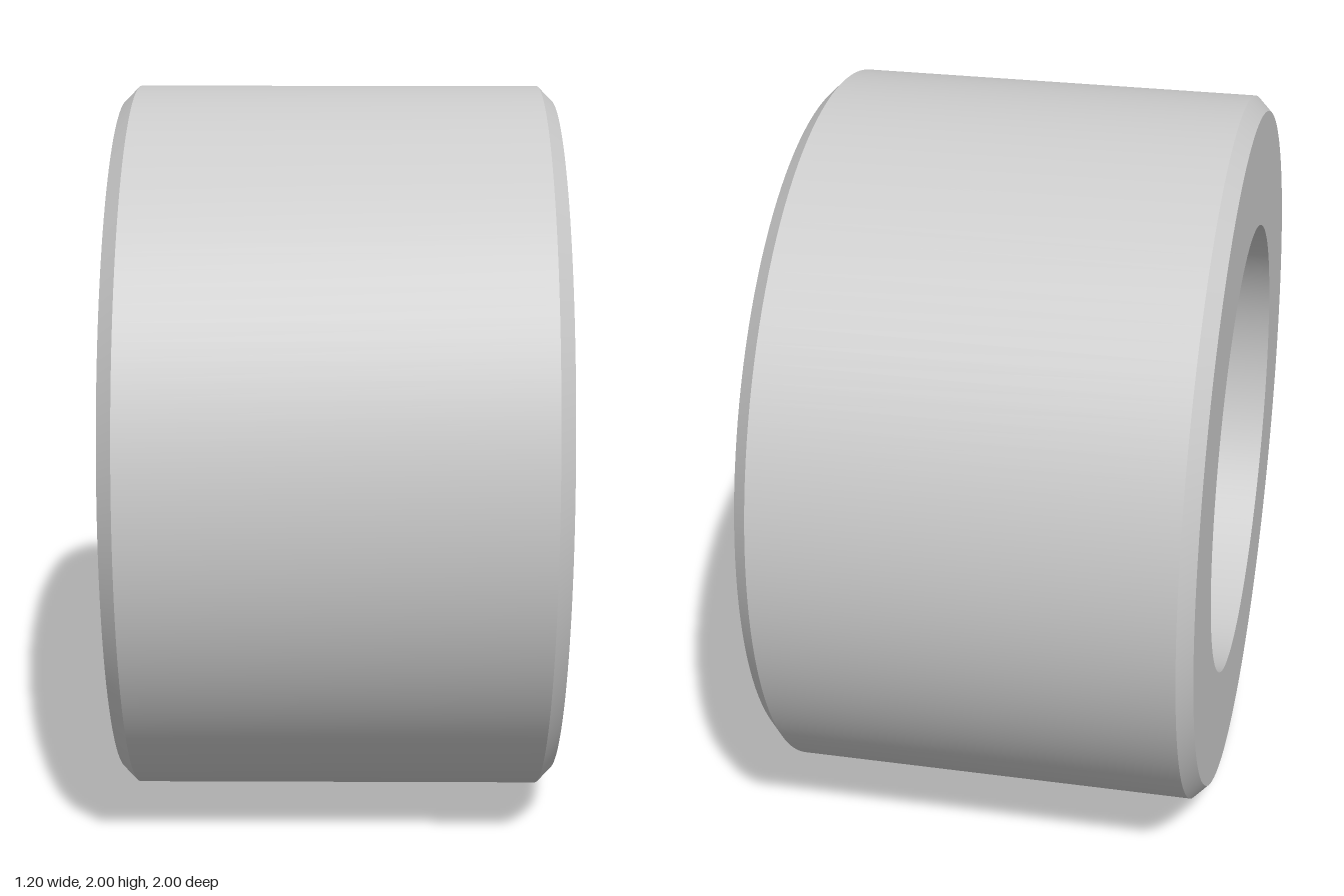
import * as THREE from 'three';
import { toCreasedNormals } from 'three/addons/utils/BufferGeometryUtils.js';
import { ConvexGeometry } from 'three/addons/geometries/ConvexGeometry.js';

const material = new THREE.MeshStandardMaterial({ color: 0xcccccc });

// Revolve a [radius, x] profile around the x axis, keeping its edges sharp
function revolve(name, profile) {
  const points = profile.map(([r, x]) => new THREE.Vector2(r, x));
  const geometry = new THREE.LatheGeometry(points, 128).rotateZ(-Math.PI / 2);
  const mesh = new THREE.Mesh(toCreasedNormals(geometry, 0.5), material);
  mesh.name = name;
  return mesh;
}

// Convex block from [radius, half width, x] corners, mirrored across the spoke
function block(name, corners) {
  const points = corners.flatMap(([r, w, x]) => [
    new THREE.Vector3(x, w, r), new THREE.Vector3(x, -w, r),
  ]);
  const mesh = new THREE.Mesh(new ConvexGeometry(points), material);
  mesh.name = name;
  return mesh;
}

export function createModel() {
  const wheel = new THREE.Group();
  wheel.name = 'wheel';

  // Wide rim: chamfered outside, straight bore, flared opening on the spoke side
  wheel.add(revolve('rim', [
    [0.64, -0.6], [0.96, -0.6], [1, -0.56], [1, 0.56], [0.96, 0.6],
    [0.8, 0.6], [0.64, 0.44], [0.64, -0.6],
  ]));

  // Hub with a sloped collar and a short cap
  wheel.add(revolve('hub', [
    [0, 0.1], [0.2, 0.1], [0.2, 0.18], [0.16, 0.22], [0.16, 0.26], [0, 0.26],
  ]));

  // Six tapered spokes with bevelled front edges
  for (let i = 0; i < 6; i++) {
    const spoke = new THREE.Group();
    spoke.name = `spoke${i + 1}`;
    spoke.add(block('spokeArm', [
      [0.02, 0.01, 0.1], [0.2425, 0.14, 0.1], [0.68, 0.096, 0.1],
      [0.2425, 0.14, 0.14], [0.68, 0.096, 0.14],
      [0.02, 0.01, 0.18], [0.19, 0.11, 0.18], [0.68, 0.06, 0.18],
    ]));
    // Small ramp where the spoke meets the rim
    spoke.add(block('spokeFoot', [
      [0.6, 0.067, 0.178], [0.68, 0.06, 0.178],
      [0.64, 0.024, 0.22], [0.68, 0.02, 0.22],
    ]));
    spoke.rotation.x = (i * Math.PI) / 3;
    wheel.add(spoke);
  }

  wheel.position.y = 1;
  const model = new THREE.Group();
  model.add(wheel);
  return model;
}
